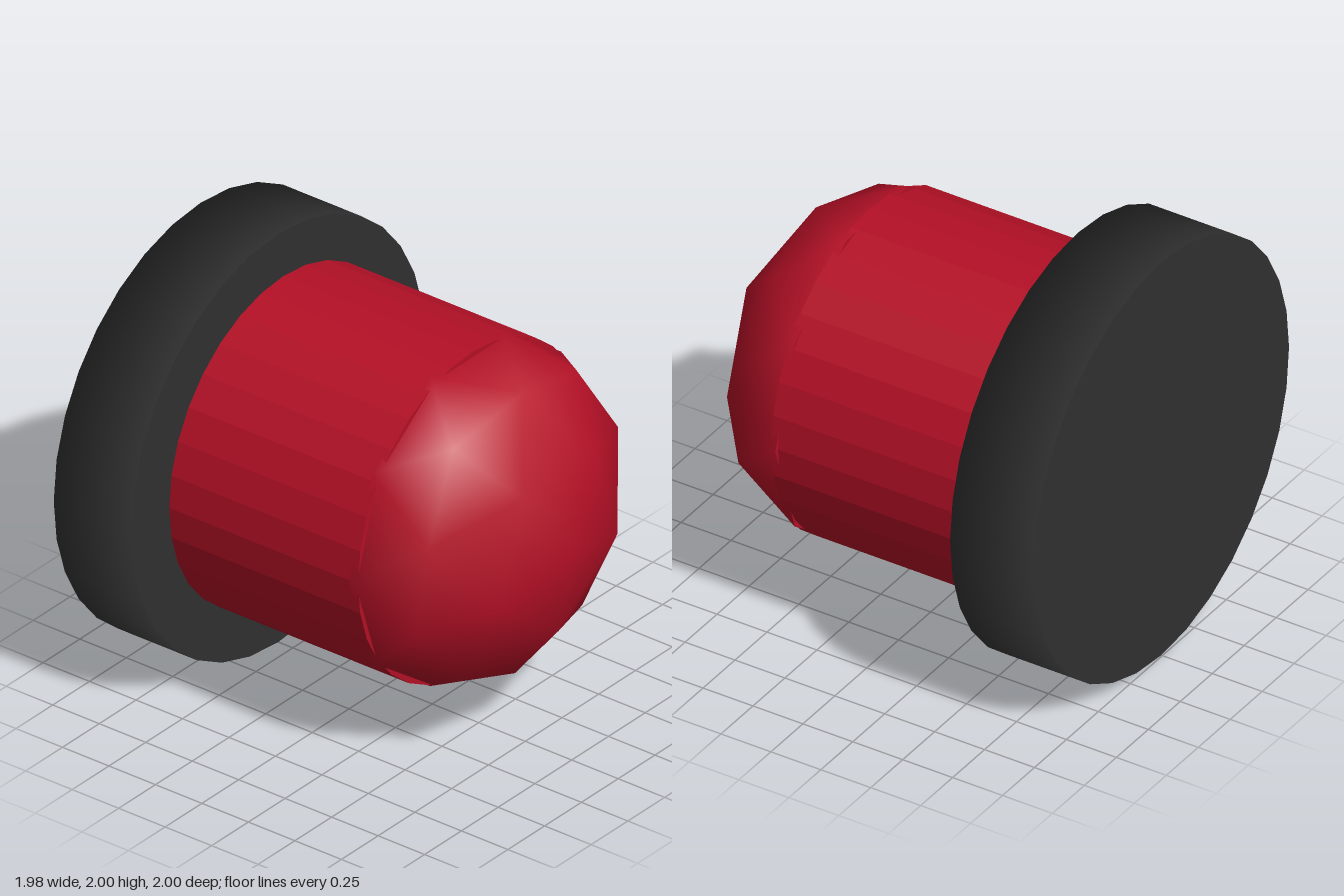
import * as THREE from 'three';

export function createModel() {
  const black = new THREE.MeshStandardMaterial({ name: 'black', color: 0x303030 });
  const red = new THREE.MeshStandardMaterial({ name: 'red', color: 0xb51026 });
  const model = new THREE.Group();
  model.name = 'indicatorLamp';

  const add = (name, geometry, material, x, z = 0) => {
    const mesh = new THREE.Mesh(geometry, material);
    mesh.name = name;
    mesh.position.set(x, 1, z);
    model.add(mesh);
    return mesh;
  };
  // 32-sided cylinder lying along x, with a vertex at the top
  const drum = (radius, length) =>
    new THREE.CylinderGeometry(radius, radius, length, 32).rotateZ(-Math.PI / 2);

  // Base disc: the rim normals lean towards the end faces for a soft, pillowed edge
  const base = drum(1, 0.417);
  const p = base.attributes.position;
  const normals = base.attributes.normal;
  const n = new THREE.Vector3();
  for (let i = 0; i < p.count; i++) {
    if (Math.abs(normals.getX(i)) > 0.5) continue;
    n.set(Math.sign(p.getX(i)), p.getY(i) * 0.25, p.getZ(i) * 0.25).normalize();
    normals.setXYZ(i, n.x, n.y, n.z);
  }
  add('base', base, black, -0.786);

  // Faceted body, slightly off the base's centre
  const offset = -0.035;
  const body = drum(0.777, 1.018).toNonIndexed();
  body.computeVertexNormals();
  add('body', body, red, -0.071, offset);

  // Dome: the +x half of a once-divided icosahedron with a vertex at its tip
  const ball = new THREE.IcosahedronGeometry(1, 1)
    .rotateZ(-Math.atan2((1 + Math.sqrt(5)) / 2, 1))
    .rotateX(Math.PI);
  const pos = ball.attributes.position.array;
  const nor = ball.attributes.normal.array;
  const keptPos = [];
  const keptNor = [];
  for (let i = 0; i < pos.length; i += 9) {
    if (pos[i] + pos[i + 3] + pos[i + 6] < 0) continue;
    keptPos.push(...pos.slice(i, i + 9));
    keptNor.push(...nor.slice(i, i + 9));
  }
  const half = new THREE.BufferGeometry();
  half.setAttribute('position', new THREE.Float32BufferAttribute(keptPos, 3));
  half.setAttribute('normal', new THREE.Float32BufferAttribute(keptNor, 3));
  half.scale(0.585, 0.797, 0.797);
  add('dome', half, red, 0.405, offset);

  // Underside of the dome's overhanging corners
  const underside = new THREE.CircleGeometry(0.797, 10).rotateY(-Math.PI / 2);
  add('domeUnderside', underside, red, 0.405, offset);

  return model;
}
